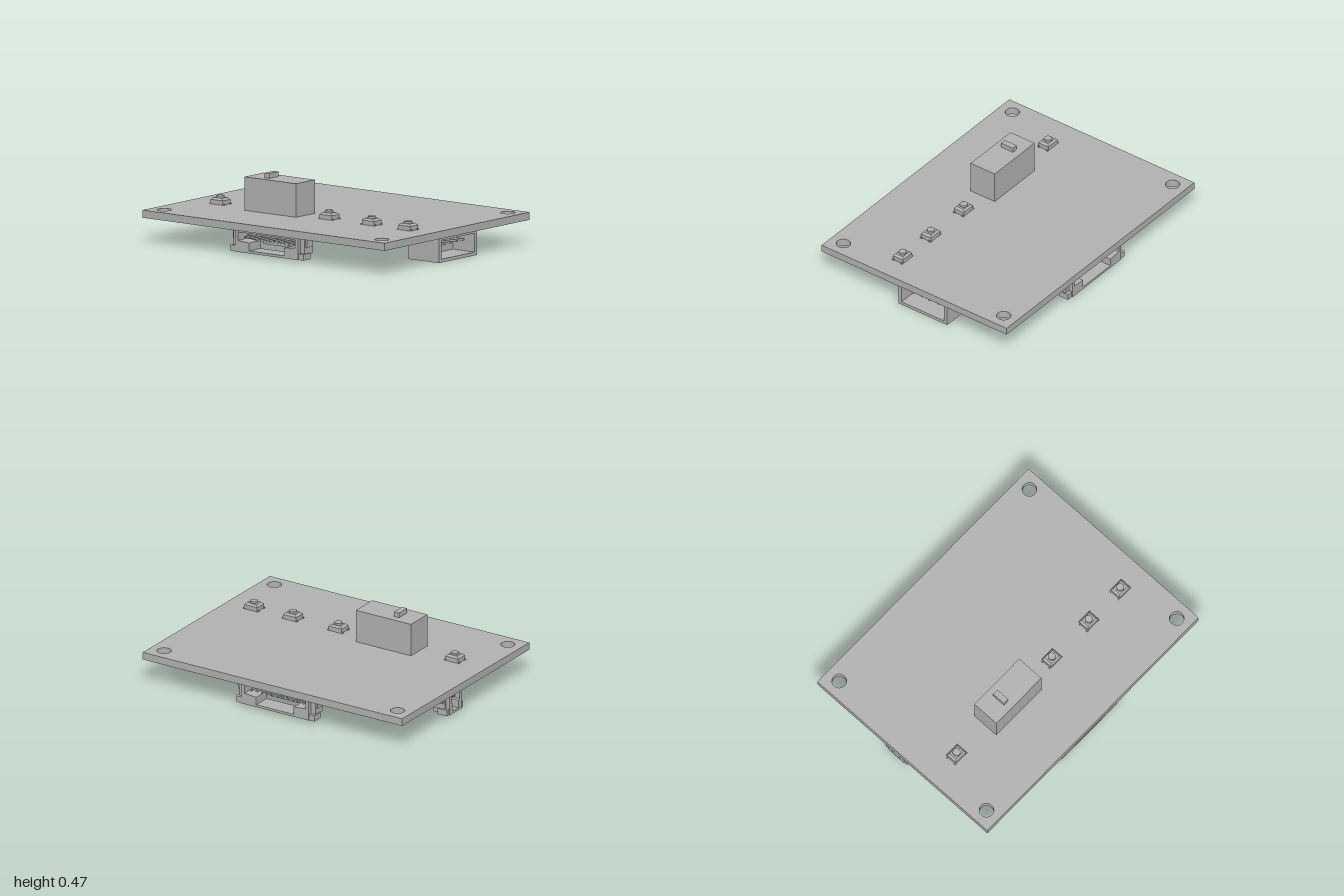
import * as THREE from 'three';

const grey = new THREE.MeshStandardMaterial({ color: 0xb2b2b2 });
grey.name = 'plain grey';

const BOTTOM = 0.165, TOP = 0.215;

function add(parent, name, geometry, x = 0, y = 0, z = 0) {
  const mesh = new THREE.Mesh(geometry, grey);
  mesh.name = name;
  mesh.position.set(x, y, z);
  parent.add(mesh);
  return mesh;
}

// Box given by its limits on each axis
function block(parent, name, x0, x1, y0, y1, z0, z1) {
  return add(parent, name, new THREE.BoxGeometry(x1 - x0, y1 - y0, z1 - z0),
    (x0 + x1) / 2, (y0 + y1) / 2, (z0 + z1) / 2);
}

function group(parent, name, x = 0, y = 0, z = 0, turn = 0) {
  const g = new THREE.Group();
  g.name = name;
  g.position.set(x, y, z);
  g.rotation.y = turn;
  parent.add(g);
  return g;
}

const polygon = (Type, pts) => new Type(pts.map(([x, y]) => new THREE.Vector2(x, y)));
const rect = (x0, x1, y0, y1) => [[x0, y0], [x1, y0], [x1, y1], [x0, y1]];
const extrude = (shape, depth) =>
  new THREE.ExtrudeGeometry(shape, { depth, bevelEnabled: false, curveSegments: 16 });

// Flat board with four mounting holes
function board(parent) {
  const shape = polygon(THREE.Shape, rect(-1, 1, -0.75, 0.75));
  for (const x of [-0.9, 0.9]) for (const y of [-0.65, 0.65]) {
    const hole = new THREE.Path();
    hole.absarc(x, y, 0.047, 0, Math.PI * 2, true);
    shape.holes.push(hole);
  }
  const mesh = add(parent, 'board', extrude(shape, TOP - BOTTOM), 0, BOTTOM, 0);
  mesh.rotation.x = -Math.PI / 2;
  mesh.position.y = BOTTOM;
}

// Push button with corner leads
function pushButton(parent, x) {
  const g = group(parent, 'pushButton', x, TOP, 0.25);
  block(g, 'buttonBody', -0.05, 0.05, 0, 0.03, -0.04, 0.04);
  const cap = new THREE.CylinderGeometry(0.036 * Math.SQRT2, 0.05 * Math.SQRT2, 0.013, 4, 1)
    .rotateY(Math.PI / 4).scale(1, 1, 0.8).toNonIndexed();
  cap.computeVertexNormals();
  add(g, 'buttonCover', cap, 0, 0.0365, 0);
  add(g, 'buttonKnob', new THREE.CylinderGeometry(0.025, 0.025, 0.014, 20), 0, 0.049, 0);
  for (const sx of [-1, 1]) for (const sz of [-1, 1]) {
    add(g, 'buttonLead', new THREE.BoxGeometry(0.016, 0.008, 0.014), sx * 0.05, 0.004, sz * 0.034);
  }
}

// Slide switch with three through pins
function slideSwitch(parent) {
  const g = group(parent, 'slideSwitch');
  block(g, 'switchBody', -0.48, -0.055, TOP, 0.435, 0.15, 0.345);
  block(g, 'switchKnob', -0.355, -0.315, 0.43, 0.467, 0.2, 0.295);
  for (const x of [-0.44, -0.27, -0.1]) {
    block(g, 'switchPin', x - 0.01, x + 0.01, 0.1, TOP, 0.243, 0.257);
  }
}

// Side-entry connector, opening towards its own +z
function socket(parent, name, { half, upper, lower, pins, pitch }, x, z, turn) {
  const g = group(parent, name, x, 0, z, turn);
  const body = upper + 0.025;
  const shape = polygon(THREE.Shape, rect(-body, body, 0.02, 0.162));
  shape.holes.push(polygon(THREE.Path, [
    [-lower, 0.036], [lower, 0.036], [lower, 0.088], [upper, 0.096],
    [upper, 0.15], [-upper, 0.15], [-upper, 0.096], [-lower, 0.088],
  ].reverse()));
  add(g, 'socketShell', extrude(shape, 0.125), 0, 0, -0.0575);
  block(g, 'socketBackWall', -upper, upper, 0.088, 0.152, -0.0575, -0.035);
  block(g, 'socketLedge', -lower * 0.7, lower * 0.7, 0.074, 0.09, -0.05, -0.03);
  // Mounting ears
  for (const s of [-1, 1]) {
    const ear = (n, a, b, y0, y1, z0, z1) =>
      block(g, n, Math.min(s * a, s * b), Math.max(s * a, s * b), y0, y1, z0, z1);
    ear('earUpper', body - 0.005, half - 0.012, 0.055, 0.165, -0.045, 0.04);
    ear('earLower', body - 0.005, half - 0.004, 0.02, 0.06, -0.01, 0.062);
    ear('earTab', half - 0.014, half, 0.1, 0.165, -0.03, 0.03);
  }
  // Contacts inside and solder leads behind
  for (let i = 0; i < pins; i++) {
    const px = (i - (pins - 1) / 2) * pitch;
    block(g, 'contact', px - 0.006, px + 0.006, 0.11, 0.122, -0.04, 0.04);
    block(g, 'solderLeadRise', px - 0.008, px + 0.008, 0.14, 0.165, -0.072, -0.05);
    block(g, 'solderLead', px - 0.008, px + 0.008, 0.152, 0.165, -0.095, -0.065);
  }
}

// Large open header facing +x
function powerHeader(parent) {
  const g = group(parent, 'powerHeader');
  const shape = polygon(THREE.Shape, rect(-0.15, 0.245, 0, 0.165));
  shape.holes.push(polygon(THREE.Path, rect(-0.125, 0.22, 0.022, 0.145).reverse()));
  const shell = add(g, 'headerShell', extrude(shape, 0.18), 0.79, 0, 0);
  shell.rotation.y = Math.PI / 2;
  block(g, 'headerBack', 0.77, 0.791, 0, 0.165, -0.245, 0.15);
  block(g, 'headerStep', 0.72, 0.771, 0, 0.142, -0.245, 0.15);
  for (let i = 0; i < 4; i++) {
    const z = -0.145 + i * 0.0657;
    block(g, 'headerPin', 0.78, 0.94, 0.104, 0.118, z - 0.007, z + 0.007);
  }
}

// Small two-ended chip under the board, with raised end caps
function chip(parent, x, z, height) {
  const g = group(parent, 'chip', x, BOTTOM, z);
  block(g, 'chipBody', -0.016, 0.016, -height + 0.003, 0, -0.013, 0.013);
  for (const s of [-1, 1]) {
    add(g, 'chipEnd', new THREE.BoxGeometry(0.011, height, 0.028), s * 0.0205, -height / 2, 0);
  }
}

// Three-legged part with tapered body
function transistor(parent, x, z) {
  const g = group(parent, 'transistor', x, BOTTOM, z);
  const shape = polygon(THREE.Shape, [
    [-0.023, -0.04], [-0.019, -0.008], [0.019, -0.008], [0.023, -0.022], [0.019, -0.04], [-0.019, -0.04],
  ].slice(1, 5).concat([[-0.019, -0.04], [-0.023, -0.022]]).reverse());
  add(g, 'transistorBody', extrude(shape, 0.094), 0, 0, -0.047);
  for (const [s, lz] of [[1, 0], [-1, -0.031], [-1, 0.031]]) {
    add(g, 'transistorLead', new THREE.BoxGeometry(0.014, 0.02, 0.014), s * 0.027, -0.014, lz);
    add(g, 'transistorFoot', new THREE.BoxGeometry(0.014, 0.006, 0.014), s * 0.037, -0.003, lz);
  }
}

export function createModel() {
  const model = new THREE.Group();
  model.name = 'circuitBoard';

  board(model);
  slideSwitch(model);
  for (const x of [-0.755, 0.145, 0.495, 0.795]) pushButton(model, x);

  const wide = { half: 0.305, upper: 0.235, lower: 0.145, pins: 11, pitch: 0.04 };
  const small = { half: 0.098, upper: 0.045, lower: 0.032, pins: 3, pitch: 0.03 };
  socket(model, 'frontSocket', wide, 0, 0.6525, 0);
  socket(model, 'backSocket', wide, 0, -0.6525, Math.PI);
  socket(model, 'rightSocket', small, -0.9075, -0.08, -Math.PI / 2);
  powerHeader(model);

  // Parts on the underside
  for (const [x, z] of [[0.595, -0.2], [0.465, -0.2]]) chip(model, x, z, 0.025);
  for (const [x, z] of [
    [0.13, -0.23], [0.1, -0.31], [0.21, -0.065], [0.1, -0.06], [-0.26, -0.2],
    [-0.26, -0.31], [-0.16, -0.07], [-0.26, -0.07], [-0.535, 0.095],
  ]) chip(model, x, z, 0.016);
  for (const x of [0.28, -0.06]) transistor(model, x, -0.315);

  return model;
}
